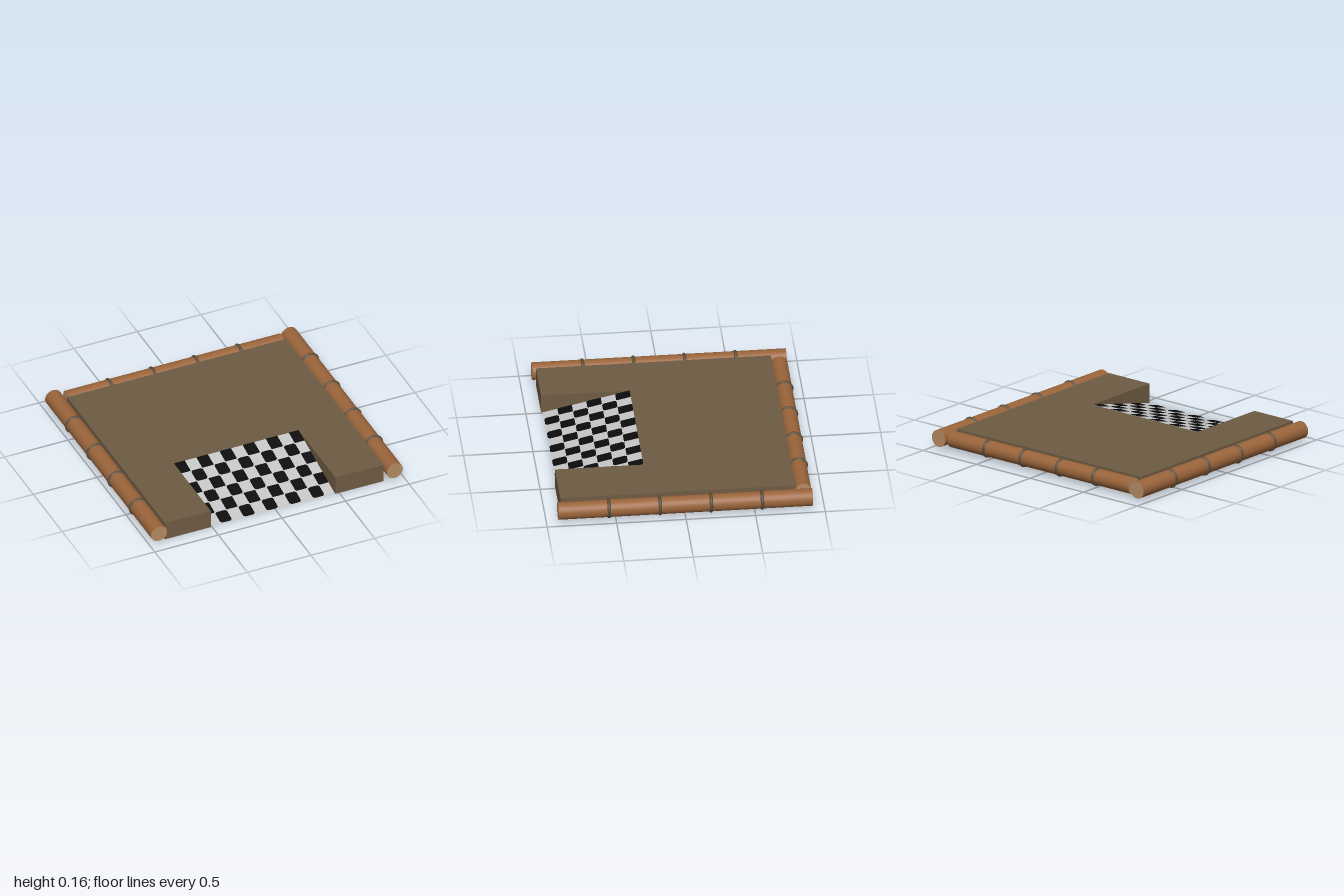
import * as THREE from 'three';

const mat = (name, color) => {
  const m = new THREE.MeshStandardMaterial({ color });
  m.name = name;
  return m;
};

export function createModel() {
  const model = new THREE.Group();
  model.name = 'rampPlatform';
  const earth = mat('earthBrown', 0x6e5b43);
  const bark = mat('logBrown', 0x9a643a);
  const cut = mat('cutWood', 0xb48a64);
  const rope = mat('ropeBrown', 0x5c4e3d);
  const white = mat('checkWhite', 0xc6c6c6);
  const black = mat('checkBlack', 0x0c0c0c);

  const add = (parent, name, geometry, material) => {
    const mesh = new THREE.Mesh(geometry, material);
    mesh.name = name;
    parent.add(mesh);
    return mesh;
  };

  const H = 0.143, x0 = -0.51, x1 = 0.47, rampBack = 0.253, rampFront = 0.876;

  // Platform slab with a notch at the front
  const outline = [[-0.87, 0.8], [-0.87, -0.89], [x0, -0.89], [x0, -rampBack],
    [x1, -rampBack], [x1, -0.89], [0.85, -0.89], [0.85, 0.8]];
  const slab = new THREE.ExtrudeGeometry(
    new THREE.Shape(outline.map(([x, y]) => new THREE.Vector2(x, y))),
    { depth: H, bevelEnabled: false });
  slab.rotateX(-Math.PI / 2);
  add(model, 'platform', slab, earth);

  // Wedge filling the notch
  const wedge = new THREE.ExtrudeGeometry(
    new THREE.Shape([[rampBack, 0], [rampFront, 0], [rampBack, H - 0.002]]
      .map(([z, y]) => new THREE.Vector2(z, y))),
    { depth: x1 - x0, bevelEnabled: false });
  wedge.rotateY(-Math.PI / 2).translate(x1, 0, 0);
  add(model, 'rampWedge', wedge, earth);

  // Checkered surface on the slope: local y runs up the ramp
  const run = rampFront - rampBack;
  const length = Math.hypot(run, H);
  const checker = new THREE.Group();
  checker.name = 'rampChecker';
  checker.position.set(0, 0, rampFront);
  checker.rotation.x = Math.atan2(H, run) - Math.PI / 2;
  model.add(checker);

  const plate = new THREE.PlaneGeometry(x1 - x0, length);
  plate.translate((x0 + x1) / 2, length / 2, 0);
  add(checker, 'whitePlate', plate, white);

  const tile = (l, r, b, t, c) => new THREE.Shape([
    [l + c, b], [r - c, b], [r, b + c], [r, t - c],
    [r - c, t], [l + c, t], [l, t - c], [l, b + c],
  ].map(([x, y]) => new THREE.Vector2(x, y)));
  const rows = 6, cols = 11, step = length / rows;
  const edge = (i) => THREE.MathUtils.clamp(-0.516 + 0.0909 * i, x0, x1);
  const tiles = [];
  for (let row = 0; row < rows; row++) {
    for (let col = 0; col < cols; col++) {
      // row 0 is at the foot of the ramp
      if ((row + col) % 2 === 0) continue;
      tiles.push(tile(edge(col), edge(col + 1), row * step, (row + 1) * step,
        row % 2 === 0 ? 0.013 : 0.004));
    }
  }
  add(checker, 'blackTiles', new THREE.ShapeGeometry(tiles), black).position.z = 0.002;

  // Log along its local y, with four rope rings
  const makeLog = (name, radius, len, spacing) => {
    const log = new THREE.Group();
    log.name = name;
    add(log, name + 'Trunk', new THREE.CylinderGeometry(radius, radius, len, 32), [bark, cut, cut]);
    const ring = new THREE.TorusGeometry(radius - 0.004, 0.013, 10, 32);
    ring.rotateX(Math.PI / 2);
    for (let i = 0; i < 4; i++) {
      add(log, name + 'Ring', ring, rope).position.y = (i - 1.5) * spacing;
    }
    model.add(log);
    return log;
  };

  // Side logs run front to back
  [['leftLog', 0.926], ['rightLog', -0.928]].forEach(([name, x]) => {
    const log = makeLog(name, 0.063, 1.83, 0.367);
    log.rotation.x = Math.PI / 2;
    log.position.set(x, 0.084, 0);
  });

  // Back log runs side to side
  const back = makeLog('backLog', 0.06, 1.69, 0.339);
  back.rotation.z = Math.PI / 2;
  back.position.set(-0.003, 0.084, -0.857);

  return model;
}
